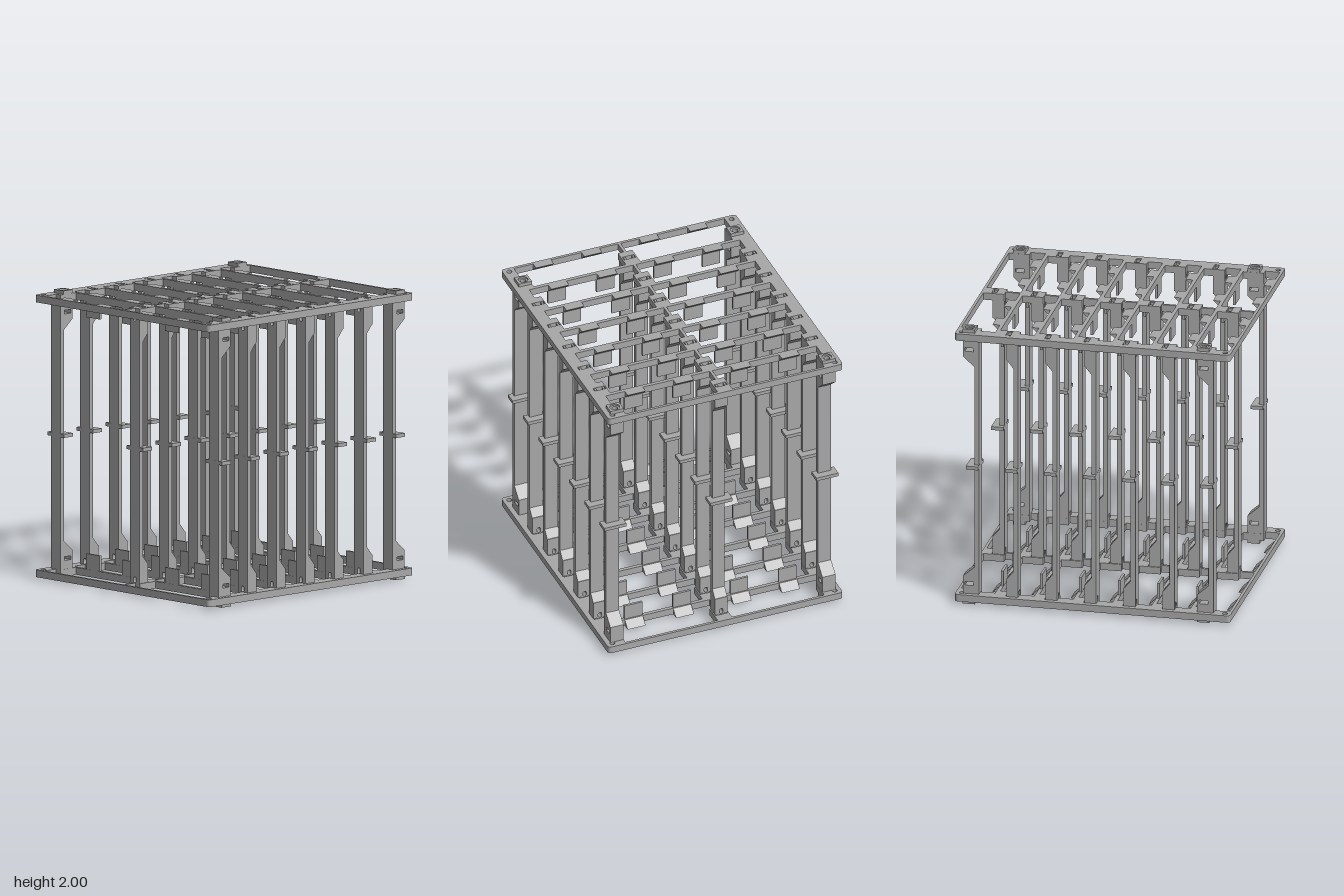
import * as THREE from 'three';

const PITCH = 0.273;
const ROWS = 7;
const POST_X = [-0.782, 0, 0.782];
const TAB_X = [-0.569, -0.212, 0.212, 0.569];
const TAB_W = 0.132;

const plastic = new THREE.MeshStandardMaterial({ color: 0xa8a8a8 });
plastic.name = 'greyPlastic';

const postFront = (i) => 0.84 - PITCH * i;
const barZ = (k) => 0.955 - PITCH * k;
const isCorner = (x, i) => x !== 0 && (i === 0 || i === ROWS - 1);

function add(parent, name, geometry, x = 0, y = 0, z = 0) {
  const m = new THREE.Mesh(geometry, plastic);
  m.name = name;
  m.position.set(x, y, z);
  parent.add(m);
  return m;
}

const trace = (pts, Kind = THREE.Shape) => new Kind(pts.map(([a, b]) => new THREE.Vector2(a, b)));
const rect = (x, y, w, h, Kind) => trace([
  [x - w / 2, y - h / 2], [x + w / 2, y - h / 2], [x + w / 2, y + h / 2], [x - w / 2, y + h / 2]], Kind);
const disc = (x, y, r, Kind = THREE.Path) => new Kind().absarc(x, y, r, 0, Math.PI * 2, false);
const extrude = (shape, depth) =>
  new THREE.ExtrudeGeometry(shape, { depth, bevelEnabled: false, curveSegments: 8 });

// Plan outline (x, -z) raised upwards from y = 0
const slab = (shape, h) => extrude(shape, h).rotateX(-Math.PI / 2);

// Side outline (z, y) swept across x and centred
const sideSweep = (shape, w) => extrude(shape, w).rotateY(-Math.PI / 2).scale(1, 1, 1).translate(w / 2, 0, 0);

// Rounded plate with stepped windows, clip slots and screw holes
function plateGeometry() {
  const X = 0.865, Z = 0.962, r = 0.025;
  const s = new THREE.Shape();
  s.absarc(X - r, Z - r, r, 0, Math.PI / 2);
  s.absarc(-X + r, Z - r, r, Math.PI / 2, Math.PI);
  s.absarc(-X + r, -Z + r, r, Math.PI, Math.PI * 1.5);
  s.absarc(X - r, -Z + r, r, Math.PI * 1.5, Math.PI * 2);
  for (let i = 0; i < ROWS; i++) {
    const front = -(barZ(i) - 0.013), back = -(barZ(i + 1) + 0.013), step = -postFront(i);
    for (const d of [-1, 1]) {
      s.holes.push(trace([
        [d * 0.01, front], [d * 0.777, front], [d * 0.777, step], [d * 0.733, step],
        [d * 0.733, back], [d * 0.053, back], [d * 0.053, step], [d * 0.01, step]], THREE.Path));
    }
    for (const x of POST_X) {
      const v = -(postFront(i) - 0.073);
      s.holes.push(isCorner(x, i) ? disc(x, v, 0.02) : rect(x, v, 0.085, 0.034, THREE.Path));
    }
  }
  for (const x of [-0.82, 0.82]) for (const z of [-0.92, 0.92]) s.holes.push(disc(x, z, 0.018));
  return slab(s, 0.05);
}

// Post foot with an oval hole through its face
function footGeometry(w) {
  const s = rect(0, 0.14, w, 0.13);
  const hole = new THREE.Path();
  hole.absarc(0, 0.103, 0.013, 0, Math.PI);
  hole.absarc(0, 0.09, 0.013, Math.PI, Math.PI * 2);
  s.holes.push(hole);
  return extrude(s, 0.082).translate(0, 0, -0.082);
}

// Deeper corner foot with its sloping shoulder and nut slot
function cornerFootGeometry(w) {
  const s = trace([[0, 0.075], [0, 0.27], [-0.033, 0.27], [-0.113, 0.2], [-0.113, 0.075]]);
  s.holes.push(rect(-0.069, 0.148, 0.06, 0.026, THREE.Path));
  return sideSweep(s, w);
}

// One end frame, facing down; the other end is the same part turned over
function createEndFrame() {
  const g = new THREE.Group();
  add(g, 'plate', plateGeometry(), 0, 0.025, 0);

  const ramp = sideSweep(trace([[0, 0], [0, 0.05], [-0.054, 0]]), TAB_W);
  const tab = new THREE.BoxGeometry(TAB_W, 0.125, 0.017);
  for (let k = 0; k < ROWS; k++) {
    for (const x of TAB_X) {
      add(g, 'tabRamp', ramp, x, 0.025, barZ(k) - 0.011);
      if (k > 0) add(g, 'guideTab', tab, x, 0.1205, barZ(k) + 0.003);
    }
  }

  const prong = new THREE.BoxGeometry(0.014, 0.05, 0.026);
  const bridge = new THREE.BoxGeometry(0.05, 0.03, 0.014);
  const bossShape = rect(0, 0, 0.096, 0.086);
  bossShape.holes.push(disc(0, 0, 0.034));
  const boss = slab(bossShape, 0.025);
  const ringShape = disc(0, 0, 0.034, THREE.Shape);
  ringShape.holes.push(disc(0, 0, 0.02));
  const ring = slab(ringShape, 0.014);
  const cornerFoot = cornerFootGeometry(0.096);

  for (let i = 0; i < ROWS; i++) {
    for (const x of POST_X) {
      const z = postFront(i), zc = z - 0.073;
      if (isCorner(x, i)) {
        add(g, 'cornerFoot', cornerFoot, x, 0, z);
        add(g, 'screwBoss', boss, x, 0, zc);
        add(g, 'bossRing', ring, x, 0.011, zc);
      } else {
        add(g, 'postFoot', footGeometry(x === 0 ? 0.09 : 0.096), x, 0, z);
        for (const d of [-1, 1]) add(g, 'clipProng', prong, x + d * 0.03, 0.051, zc);
        add(g, 'clipBridge', bridge, x, 0.06, zc);
      }
    }
  }
  return g;
}

export function createModel() {
  const model = new THREE.Group();
  model.name = 'rackFrame';

  const bottom = createEndFrame();
  bottom.name = 'bottomFrame';
  const top = createEndFrame();
  top.name = 'topFrame';
  top.rotation.z = Math.PI;
  top.position.y = 2;
  model.add(bottom, top);

  // Uprights with sloping shoulders at both ends, and a collar at mid height
  const profile = trace([
    [0, 0.2], [0, 1.8], [-0.082, 1.8], [-0.033, 1.74], [-0.033, 0.26], [-0.082, 0.2]]);
  const shaft = trace([[0, 0.2], [0, 1.8], [-0.033, 1.8], [-0.033, 0.2]]);
  const collar = new THREE.BoxGeometry(0.163, 0.025, 0.085);
  const posts = new THREE.Group();
  posts.name = 'posts';
  for (const x of POST_X) {
    for (let i = 0; i < ROWS; i++) {
      const z = postFront(i);
      const shape = isCorner(x, i) ? shaft : profile;
      add(posts, 'post', sideSweep(shape, x === 0 ? 0.09 : 0.096), x, 0, z);
      add(posts, 'postCollar', collar, x, 1.003, z - 0.042);
    }
  }
  model.add(posts);
  return model;
}
